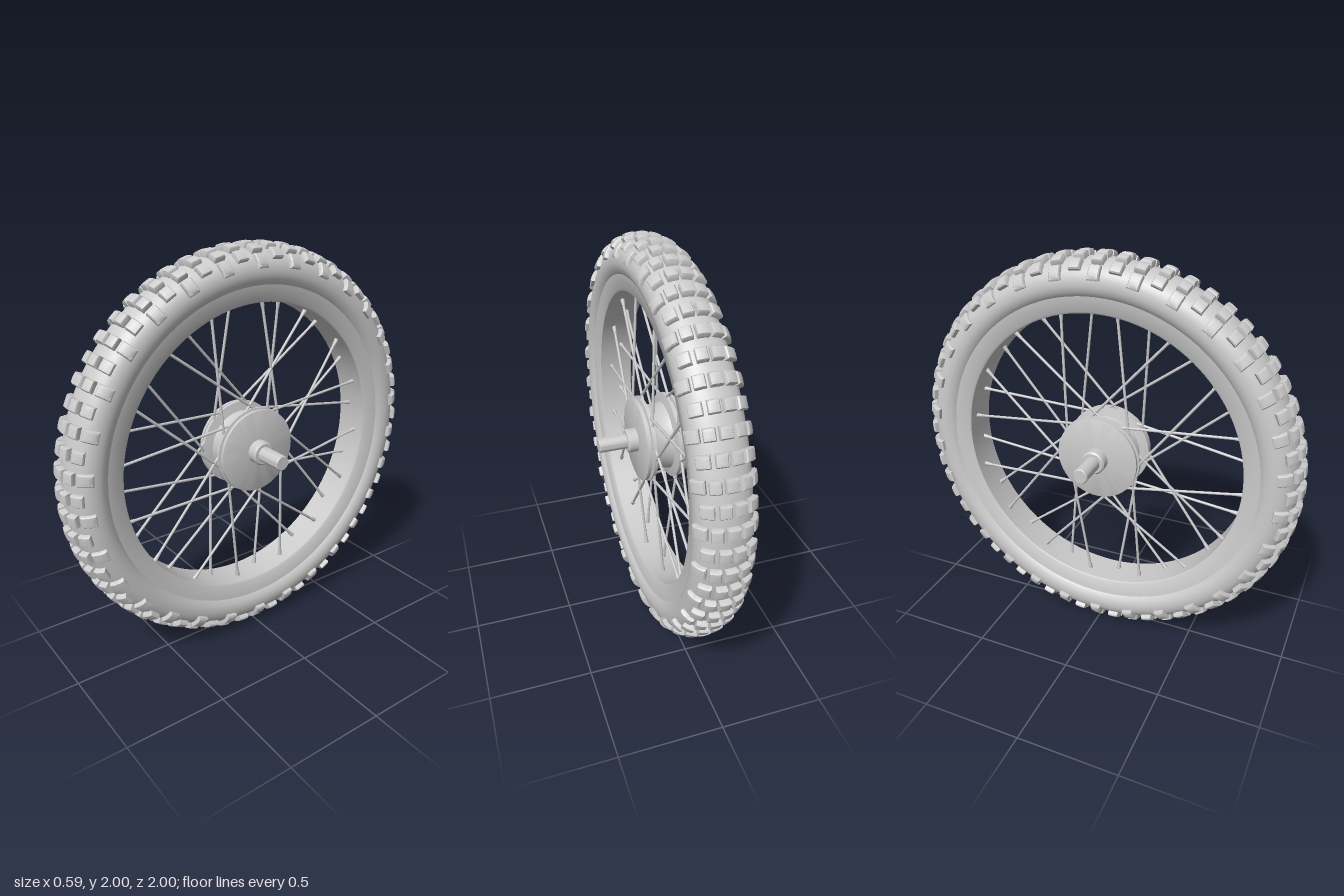
import * as THREE from 'three';
import { mergeGeometries, toCreasedNormals } from 'three/addons/utils/BufferGeometryUtils.js';

const material = new THREE.MeshStandardMaterial({ color: 0xcccccc });

function mesh(name, geometry) {
  const m = new THREE.Mesh(geometry, material);
  m.name = name;
  return m;
}

// Revolve a list of [x, radius] points around the x axis
function revolve(points, segments, crease = 0.5) {
  const g = new THREE.LatheGeometry(points.map(([x, r]) => new THREE.Vector2(r, x)), segments);
  g.rotateZ(-Math.PI / 2);
  return toCreasedNormals(g, crease);
}

// Tyre cross-section: t = 0 at the crown, +-PI/2 at the widest point
function tyrePoint(t) {
  return [0.125 * Math.sin(t), 0.86 + 0.11 * Math.pow(Math.max(0, Math.cos(t)), 0.8)];
}

// Tread block bent over the cross-section between t0 and t1
function knob(t0, t1, height, width) {
  const g = new THREE.BoxGeometry(1, 1, 1, 4, 2, 3);
  const p = g.attributes.position;
  for (let i = 0; i < p.count; i++) {
    const u = p.getX(i), v = p.getY(i) + 0.5, w = p.getZ(i);
    const taper = v > 0.9 ? 0.84 : 1;
    const edge = Math.max(Math.abs(u), Math.abs(w)) > 0.49;
    const t = (t0 + t1) / 2 + u * taper * (t1 - t0);
    const lift = v > 0.9 ? (edge ? 0.93 : 1) : v > 0.4 ? 0.7 : -0.35;
    const [x, r] = tyrePoint(t);
    const [xa, ra] = tyrePoint(t - 0.01);
    const [xb, rb] = tyrePoint(t + 0.01);
    const len = Math.hypot(xb - xa, rb - ra);
    p.setXYZ(i, x - (rb - ra) / len * lift * height, r + (xb - xa) / len * lift * height, w * taper * width);
  }
  return toCreasedNormals(g, 0.7);
}

// Thin rod between two points
function rod(a, b, ra, rb, sides) {
  const d = b.clone().sub(a);
  const g = new THREE.CylinderGeometry(rb, ra, d.length(), sides);
  g.applyQuaternion(new THREE.Quaternion().setFromUnitVectors(new THREE.Vector3(0, 1, 0), d.normalize()));
  const c = a.clone().add(b).multiplyScalar(0.5);
  return g.translate(c.x, c.y, c.z);
}

function polar(x, r, angle) {
  return new THREE.Vector3(x, r * Math.cos(angle), r * Math.sin(angle));
}

export function createModel() {
  const group = new THREE.Group();
  const wheel = new THREE.Group();
  wheel.name = 'wheel';
  wheel.position.y = 1;
  group.add(wheel);

  // Tyre carcass
  const profile = [[-0.09, 0.8], [-0.104, 0.812], [-0.119, 0.835]];
  for (let i = 0; i <= 24; i++) profile.push(tyrePoint(-Math.PI / 2 + (Math.PI * i) / 24));
  profile.push([0.119, 0.835], [0.104, 0.812], [0.09, 0.8]);
  wheel.add(mesh('tyre', revolve(profile, 120, 0.7)));

  // Tread: two alternating rows of blocks
  const centre = knob(-0.2, 0.2, 0.03, 0.055);
  const pair = (t0, t1, h) => [knob(t0, t1, h, 0.055), knob(-t1, -t0, h, 0.055)];
  const rows = [
    mergeGeometries([centre, ...pair(0.3, 0.68, 0.029), ...pair(0.8, 1.38, 0.022)]),
    mergeGeometries([...pair(0.05, 0.42, 0.03), ...pair(0.55, 1.02, 0.026)]),
  ];
  const tread = [];
  for (let i = 0; i < 60; i++) tread.push(rows[i % 2].clone().rotateX((i * Math.PI) / 30));
  wheel.add(mesh('treadBlocks', mergeGeometries(tread)));

  // Rim
  wheel.add(mesh('rim', revolve([
    [-0.088, 0.73], [-0.095, 0.74], [-0.104, 0.812], [-0.09, 0.825],
    [0.09, 0.825], [0.104, 0.812], [0.095, 0.74], [0.088, 0.73], [-0.088, 0.73],
  ], 120)));

  // Hub with two flanges, and the axle with its collars
  const hubHalf = [[0.03, 0.165], [0.045, 0.17], [0.055, 0.215], [0.072, 0.215],
    [0.076, 0.195], [0.082, 0.195], [0.084, 0.21], [0.1, 0.21], [0.102, 0.205], [0.102, 0]];
  const collarHalf = [[0.145, 0.06], [0.153, 0.052], [0.153, 0.038], [0.29, 0.038], [0.295, 0.034], [0.295, 0]];
  const mirrored = (half) => [...half.map(([x, r]) => [-x, r]).reverse(), ...half];
  wheel.add(mesh('hub', revolve(mirrored(hubHalf), 64)));
  wheel.add(mesh('axle', revolve(mirrored(collarHalf), 32)));

  // Crossed spokes with nipples, alternating side and direction
  const spokes = [], nipples = [];
  for (let i = 0; i < 32; i++) {
    const angle = ((i + 0.5) * Math.PI) / 16;
    const side = i % 2 ? 1 : -1;
    const lean = Math.floor(i / 2) % 2 ? -1 : 1;
    const inner = polar(side * 0.064, 0.19, angle + lean * 0.87);
    const outer = polar(side * 0.025, 0.735, angle);
    spokes.push(rod(inner, outer, 0.007, 0.007, 8));
    nipples.push(rod(inner.clone().lerp(outer, 0.93), outer, 0.008, 0.012, 8));
  }
  wheel.add(mesh('spokes', mergeGeometries(spokes)));
  wheel.add(mesh('spokeNipples', mergeGeometries(nipples)));

  return group;
}
